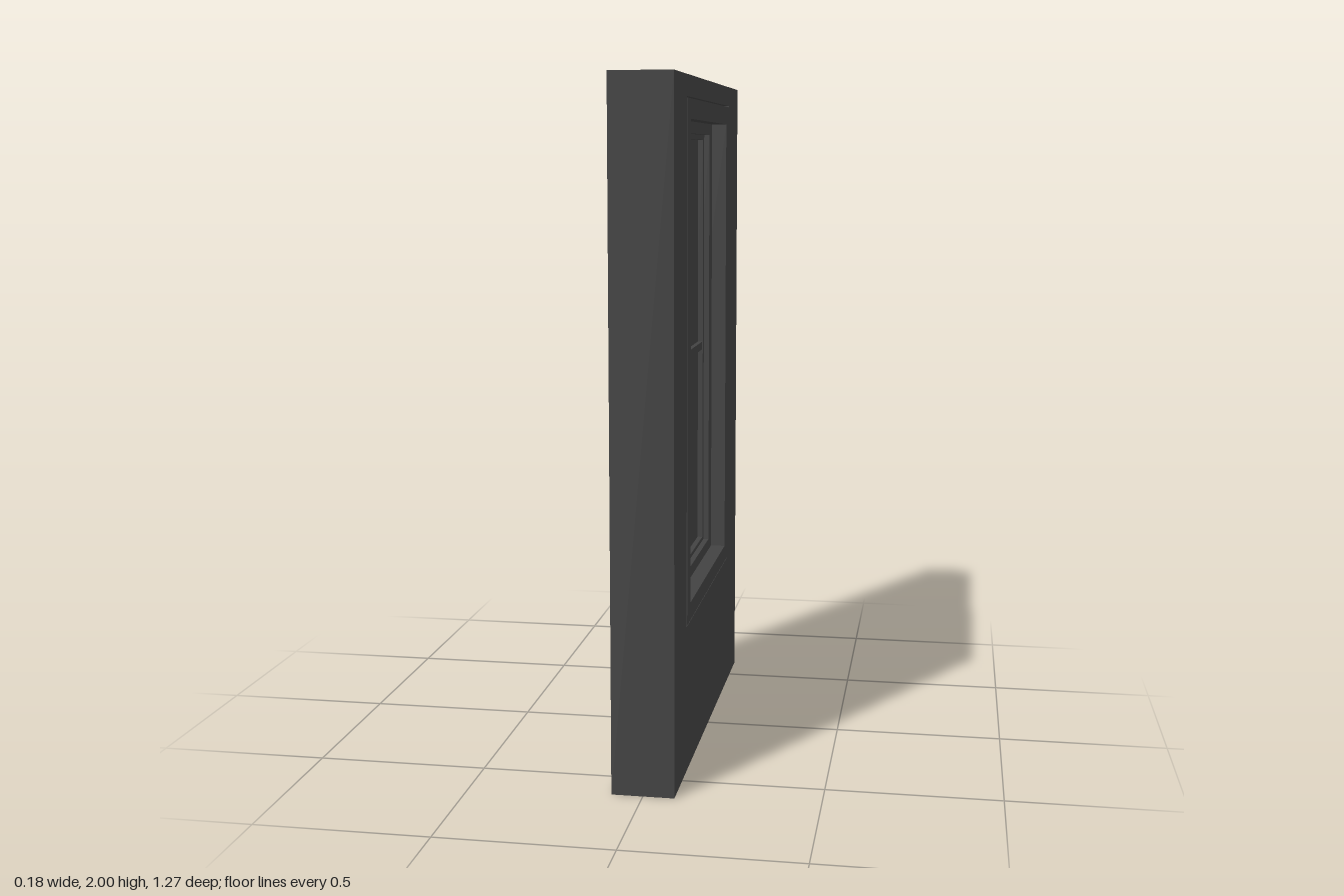
import * as THREE from 'three';

const material = new THREE.MeshStandardMaterial({ color: 0x434343, flatShading: true });

// Rectangles are [half width along z, bottom y, top y].
const WALL = [0.635, 0, 2];
const OPENING = [0.423, 0.434, 1.94];
const CASING = [0.419, 0.438, 1.936];
const JAMB = [0.358, 0.49, 1.88];
const SASH = [0.3, 0.525, 1.845];
const PANE = [0.278, 0.537, 1.83];
const RAIL = [1.16, 1.185];

function trace(path, [w, y0, y1]) {
  path.moveTo(-w, y0);
  path.lineTo(w, y0);
  path.lineTo(w, y1);
  path.lineTo(-w, y1);
  path.closePath();
  return path;
}

// Rectangular ring in the yz plane, reaching equally to both sides of x = 0.
function ring(name, outer, inner, halfDepth) {
  const shape = trace(new THREE.Shape(), outer);
  shape.holes.push(trace(new THREE.Path(), inner));
  const geometry = new THREE.ExtrudeGeometry(shape, { depth: halfDepth * 2, bevelEnabled: false });
  geometry.translate(0, 0, -halfDepth).rotateY(Math.PI / 2);
  const mesh = new THREE.Mesh(geometry, material);
  mesh.name = name;
  return mesh;
}

// Solid bar or panel spanning the same kind of rectangle.
function slab(name, [w, y0, y1], halfDepth) {
  const mesh = new THREE.Mesh(new THREE.BoxGeometry(halfDepth * 2, y1 - y0, w * 2), material);
  mesh.position.y = (y0 + y1) / 2;
  mesh.name = name;
  return mesh;
}

export function createModel() {
  const model = new THREE.Group();
  model.name = 'wallWithWindow';

  // Wall with its opening
  model.add(ring('wall', WALL, OPENING, 0.09));

  // Window, stepping inward from casing to glass on both faces
  const sashWindow = new THREE.Group();
  sashWindow.name = 'window';
  sashWindow.add(
    ring('casingJoint', OPENING, CASING, 0.075),
    ring('casing', CASING, JAMB, 0.091),
    ring('jamb', JAMB, SASH, 0.045),
    ring('sash', SASH, PANE, 0.028),
    slab('meetingRail', [PANE[0], ...RAIL], 0.026),
    slab('lowerPane', [PANE[0], PANE[1], RAIL[0]], 0.012),
    slab('upperPane', [PANE[0], RAIL[1], PANE[2]], 0.012)
  );
  model.add(sashWindow);
  return model;
}
